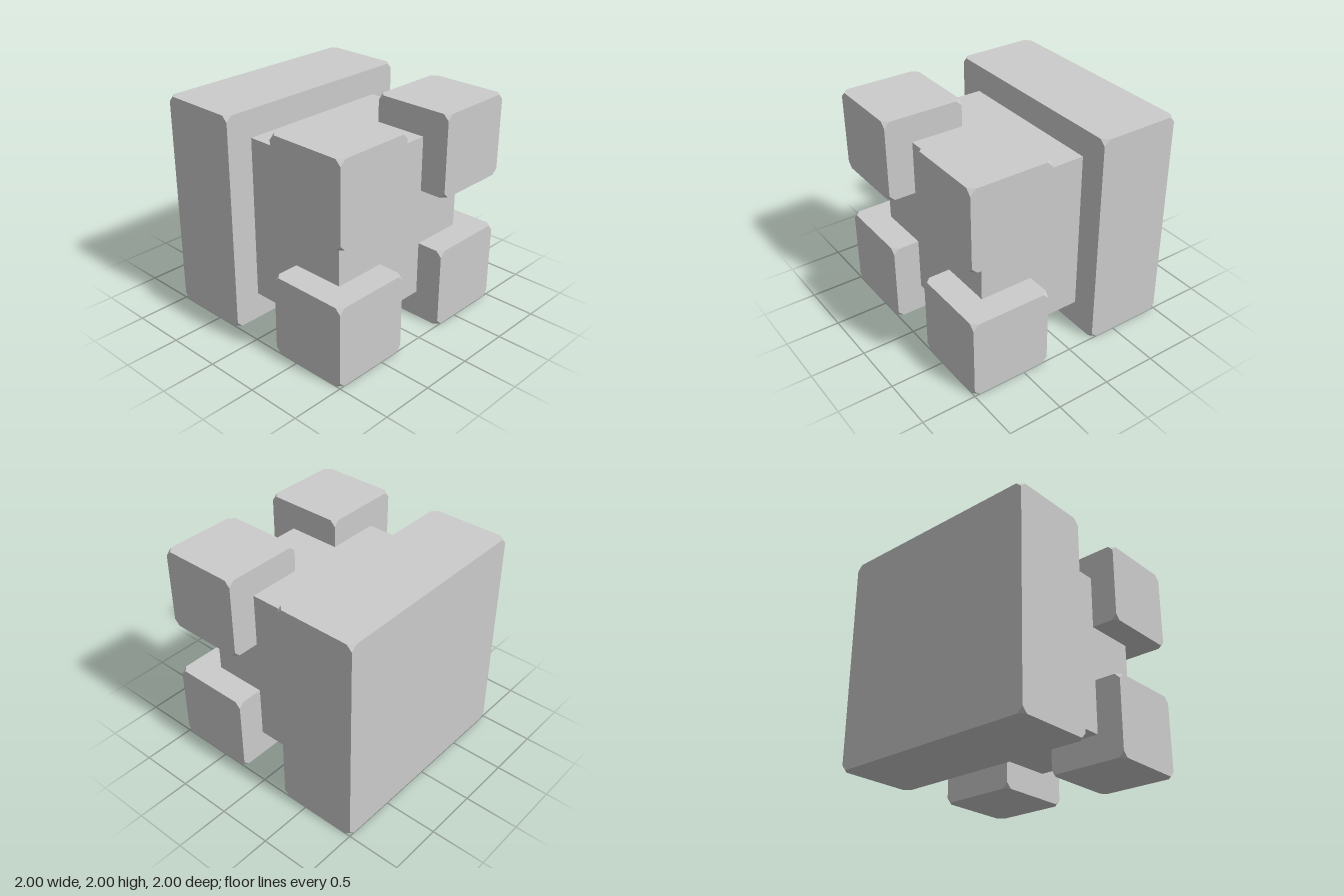
import * as THREE from 'three';
import { ConvexGeometry } from 'three/addons/geometries/ConvexGeometry.js';

const CUT = 0.05; // length trimmed from each edge at a corner

// Block with its eight corners cut off by small triangles
function cutCornerBlock(w, h, d) {
  const half = [w / 2, h / 2, d / 2];
  const points = [];
  for (const sx of [-1, 1]) for (const sy of [-1, 1]) for (const sz of [-1, 1]) {
    for (let axis = 0; axis < 3; axis++) {
      const p = [...half];
      p[axis] -= CUT;
      points.push(new THREE.Vector3(sx * p[0], sy * p[1], sz * p[2]));
    }
  }
  return new ConvexGeometry(points);
}

export function createModel() {
  const model = new THREE.Group();
  model.name = 'blockPuzzle';
  const material = new THREE.MeshStandardMaterial({ color: 0xcccccc, flatShading: true });

  const add = (name, geometry, x, y, z) => {
    const mesh = new THREE.Mesh(geometry, material);
    mesh.name = name;
    mesh.position.set(x, y, z);
    model.add(mesh);
  };

  const size = 0.745;            // side of a corner cube
  const offset = 1 - size / 2;   // its centre, measured from the model's centre

  // Core joining all the outer blocks
  add('core', new THREE.BoxGeometry(1.5, 1.5, 1.5), 0, 1, 0);

  // Full-size slab across the back
  add('backSlab', cutCornerBlock(2, 2, size), 0, 1, -offset);

  // Four cubes at the front corners
  const cube = cutCornerBlock(size, size, size);
  for (const sx of [-1, 1]) for (const sy of [-1, 1]) {
    const name = (sy > 0 ? 'upper' : 'lower') + (sx > 0 ? 'Left' : 'Right') + 'Cube';
    add(name, cube, sx * offset, 1 + sy * offset, offset);
  }
  return model;
}
